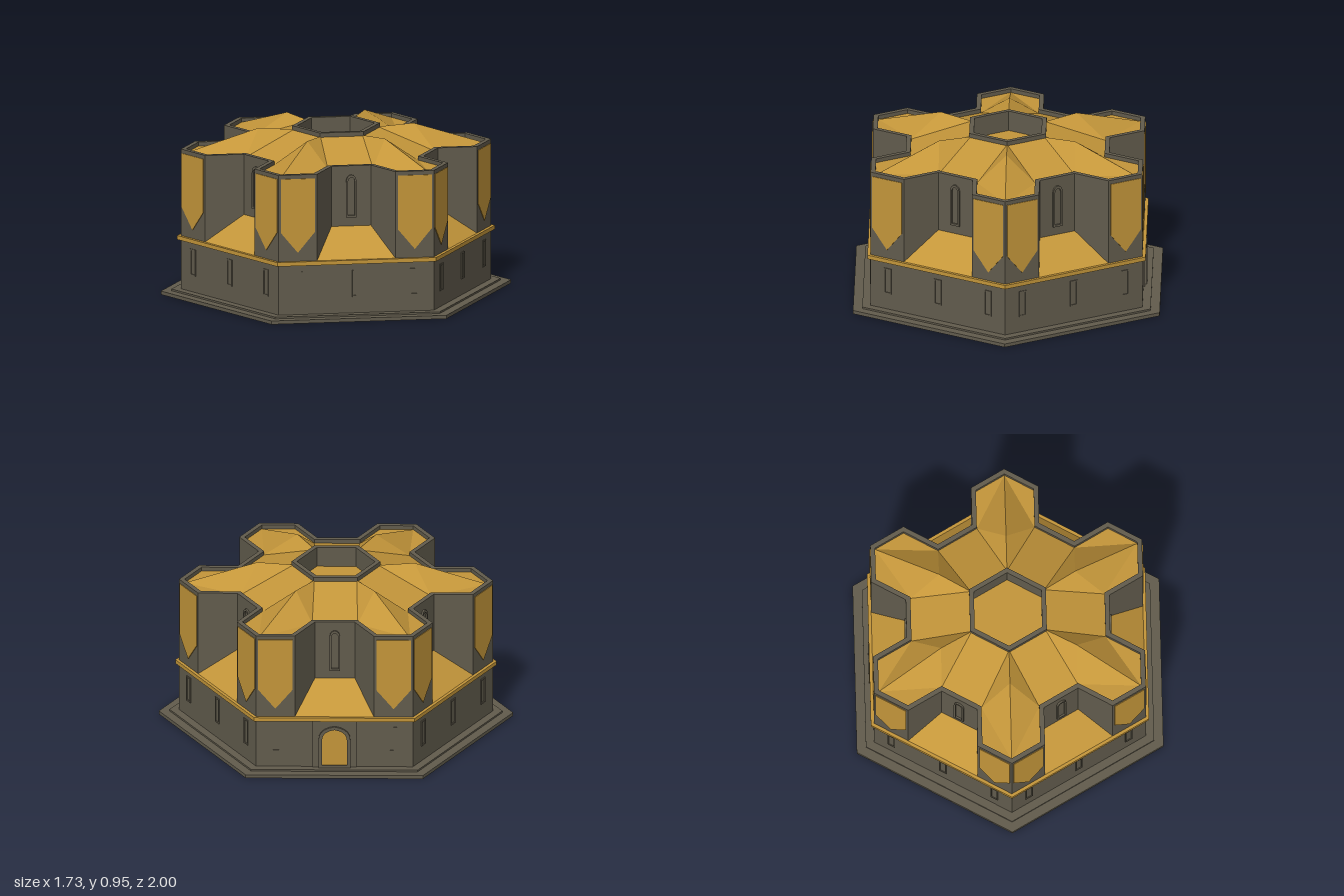
import * as THREE from 'three';

const COS = Math.cos(Math.PI / 6), TAN = Math.tan(Math.PI / 6);
const stone = new THREE.MeshStandardMaterial({ color: 0x625c4d, flatShading: true, side: THREE.DoubleSide });
const gold = new THREE.MeshStandardMaterial({ color: 0xc4963a, flatShading: true, side: THREE.DoubleSide });

const WALL = 0.886, HALF = 0.19, RECESS = 0.575;   // wall corner radius, arm half width, recess depth
const APOTHEM = WALL * COS;
const Y_DECK = 0.338, Y_APRON = 0.49, Y_TOP = 0.838, Y_ROOF = 0.815;

// Plan sizes of one arm, pulled inward by t
function armPlan(t) {
  const hw = HALF - t, tip = WALL - t / COS;
  return { hw, tip, shoulder: tip - hw * TAN, inner: (RECESS - t - hw / 2) / COS };
}

// Point in arm k: across and along the arm, at height y
function at(k, across, along, y) {
  const a = k * Math.PI / 3;
  return [Math.sin(a) * along + Math.cos(a) * across, y, Math.cos(a) * along - Math.sin(a) * across];
}

// Flat polygons, fanned into triangles
function polygons(list) {
  const pos = [];
  for (const p of list)
    for (let i = 1; i < p.length - 1; i++) pos.push(...p[0], ...p[i], ...p[i + 1]);
  const g = new THREE.BufferGeometry();
  g.setAttribute('position', new THREE.Float32BufferAttribute(pos, 3));
  g.computeVertexNormals();
  return g;
}

function hexPoints(r) {
  return [0, 1, 2, 3, 4, 5].map(k => {
    const p = at(k, 0, r, 0);
    return new THREE.Vector2(p[0], p[2]);
  });
}

// Star-shaped outline of the upper storey, pulled inward by t
function starPoints(t) {
  const { hw, tip, shoulder, inner } = armPlan(t), pts = [];
  for (let k = 0; k < 6; k++)
    for (const [s, d] of [[-hw, inner], [-hw, shoulder], [0, tip], [hw, shoulder], [hw, inner]]) {
      const p = at(k, s, d, 0);
      pts.push(new THREE.Vector2(p[0], p[2]));
    }
  return pts;
}

// Horizontal ring between two outlines, from y0 to y1
function ring(outer, inner, y0, y1) {
  const shape = new THREE.Shape(outer);
  shape.holes.push(new THREE.Path(inner));
  const g = new THREE.ExtrudeGeometry(shape, { depth: y1 - y0, bevelEnabled: false });
  return g.rotateX(Math.PI / 2).translate(0, y1, 0);
}

// Arched outline standing on y0
function arch(Type, w, y0, spring, top) {
  const h = w / 2, s = new Type();
  s.moveTo(-h, y0);
  s.lineTo(h, y0);
  s.lineTo(h, spring);
  s.quadraticCurveTo(h, top - h * 0.15, 0, top);
  s.quadraticCurveTo(-h, top - h * 0.15, -h, spring);
  s.closePath();
  return s;
}

function rect(Type, w, y0, y1) {
  return new Type([[-w / 2, y0], [w / 2, y0], [w / 2, y1], [-w / 2, y1]].map(p => new THREE.Vector2(...p)));
}

function slab(shape, depth, hole) {
  if (hole) shape.holes.push(hole);
  return new THREE.ExtrudeGeometry(shape, { depth, bevelEnabled: false, curveSegments: 5 });
}

function add(parent, name, geometry, material, x = 0, y = 0, z = 0) {
  const m = new THREE.Mesh(geometry, material);
  m.name = name;
  m.position.set(x, y, z);
  parent.add(m);
  return m;
}

export function createModel() {
  const model = new THREE.Group();
  model.name = 'hexagonalBuilding';

  // Plinth steps, lower wall shell and cornice
  add(model, 'lowerStep', ring(hexPoints(1), hexPoints(0.88), 0, 0.02), stone);
  add(model, 'upperStep', ring(hexPoints(0.94), hexPoints(0.88), 0.02, 0.03), stone);
  add(model, 'cornice', ring(hexPoints(0.907), hexPoints(0.875), 0.315, Y_DECK), gold);
  add(model, 'lowerWall', polygons([0, 1, 2, 3, 4, 5].map(k => [
    at(k, 0, WALL, 0.01), at(k + 1, 0, WALL, 0.01), at(k + 1, 0, WALL, 0.325), at(k, 0, WALL, 0.325)])), stone);

  // Upper storey: six pointed arms, recesses, aprons and roof
  const walls = [], aprons = [], roof = [];
  const o = armPlan(0), n = armPlan(0.027);
  const EYE = 0.24, Y_EYE = 0.93, RIDGE = 0.443, Y_RIDGE = 0.945;
  for (let k = 0; k < 6; k++) {
    for (const s of [1, -1]) {
      const hw = s * o.hw;
      // outer face, then the arm's flank
      walls.push([at(k, 0, o.tip, Y_DECK), at(k, hw, o.shoulder, Y_DECK), at(k, hw, o.shoulder, Y_TOP), at(k, 0, o.tip, Y_TOP)]);
      walls.push([at(k, hw, o.shoulder, Y_DECK), at(k, hw, o.inner, Y_APRON), at(k, hw, o.inner, Y_TOP), at(k, hw, o.shoulder, Y_TOP)]);
      // half of the arm's hipped roof
      const tip = at(k, 0, n.tip, Y_ROOF), ridge = at(k, 0, RIDGE, Y_RIDGE);
      const shoulder = at(k, s * n.hw, n.shoulder, Y_ROOF), inner = at(k, s * n.hw, n.inner, Y_ROOF);
      const half = [[tip, shoulder, inner], [tip, inner, ridge], [ridge, inner, at(k, 0, EYE, Y_EYE)]];
      roof.push(...half.map(t => (s > 0 ? t : t.reverse())));
    }
    const j = k + 1;
    walls.push([at(k, o.hw, o.inner, Y_APRON), at(j, -o.hw, o.inner, Y_APRON), at(j, -o.hw, o.inner, Y_TOP), at(k, o.hw, o.inner, Y_TOP)]);
    aprons.push([at(k, o.hw, o.shoulder, Y_DECK), at(j, -o.hw, o.shoulder, Y_DECK), at(j, -o.hw, o.inner, Y_APRON), at(k, o.hw, o.inner, Y_APRON)]);
    roof.push([at(k, n.hw, n.inner, Y_ROOF), at(j, -n.hw, n.inner, Y_ROOF), at(j, 0, EYE, Y_EYE), at(k, 0, EYE, Y_EYE)]);
  }
  add(model, 'upperWalls', polygons(walls), stone);
  add(model, 'recessAprons', polygons(aprons), gold);
  add(model, 'roof', polygons(roof), gold);
  add(model, 'parapet', ring(starPoints(0), starPoints(0.027), 0.8, Y_TOP), stone);

  // Central sunken well with its rim
  add(model, 'wellRim', ring(hexPoints(0.25), hexPoints(0.22), 0.83, 0.952), stone);
  add(model, 'wellFloor', polygons([[0, 1, 2, 3, 4, 5].map(k => at(k, 0, 0.235, 0.835))]), gold);

  // Details repeated on the six sides
  const panelShape = new THREE.Shape([[-0.097, 0.815], [-0.097, 0.505], [0, 0.388], [0.097, 0.505], [0.097, 0.815]]
    .map(p => new THREE.Vector2(...p)));
  const panelGeo = slab(panelShape, 0.004);
  const lancetGeo = slab(arch(THREE.Shape, 0.06, 0.54, 0.74, 0.787), 0.01, arch(THREE.Path, 0.04, 0.552, 0.738, 0.772));
  const windowGeo = slab(rect(THREE.Shape, 0.046, 0.123, 0.277), 0.005, rect(THREE.Path, 0.032, 0.132, 0.268));
  for (let k = 0; k < 6; k++) {
    const side = new THREE.Group();
    side.name = 'side' + (k + 1);
    side.rotation.y = Math.PI / 6 + k * Math.PI / 3;
    model.add(side);
    for (const s of [-1, 1]) {
      add(side, 'wallPanel', panelGeo, gold, s * 0.334, 0, APOTHEM);
      add(side, 'wallWindow', windowGeo, stone, s * 0.33, 0, APOTHEM);
    }
    add(side, 'lancetWindow', lancetGeo, stone, 0, 0, RECESS);
    if (k !== 2) {
      add(side, 'wallWindow', windowGeo, stone, 0, 0, APOTHEM);
    } else {
      // Single doorway on the back right side
      add(side, 'portal', slab(rect(THREE.Shape, 0.25, 0.03, 0.318), 0.008), stone, 0, 0, APOTHEM);
      add(side, 'doorFrame', slab(arch(THREE.Shape, 0.18, 0.03, 0.2, 0.283), 0.02, arch(THREE.Path, 0.14, 0.045, 0.2, 0.264)), stone, 0, 0, APOTHEM);
      add(side, 'door', slab(arch(THREE.Shape, 0.145, 0.043, 0.2, 0.267), 0.012), gold, 0, 0, APOTHEM);
    }
  }
  return model;
}
